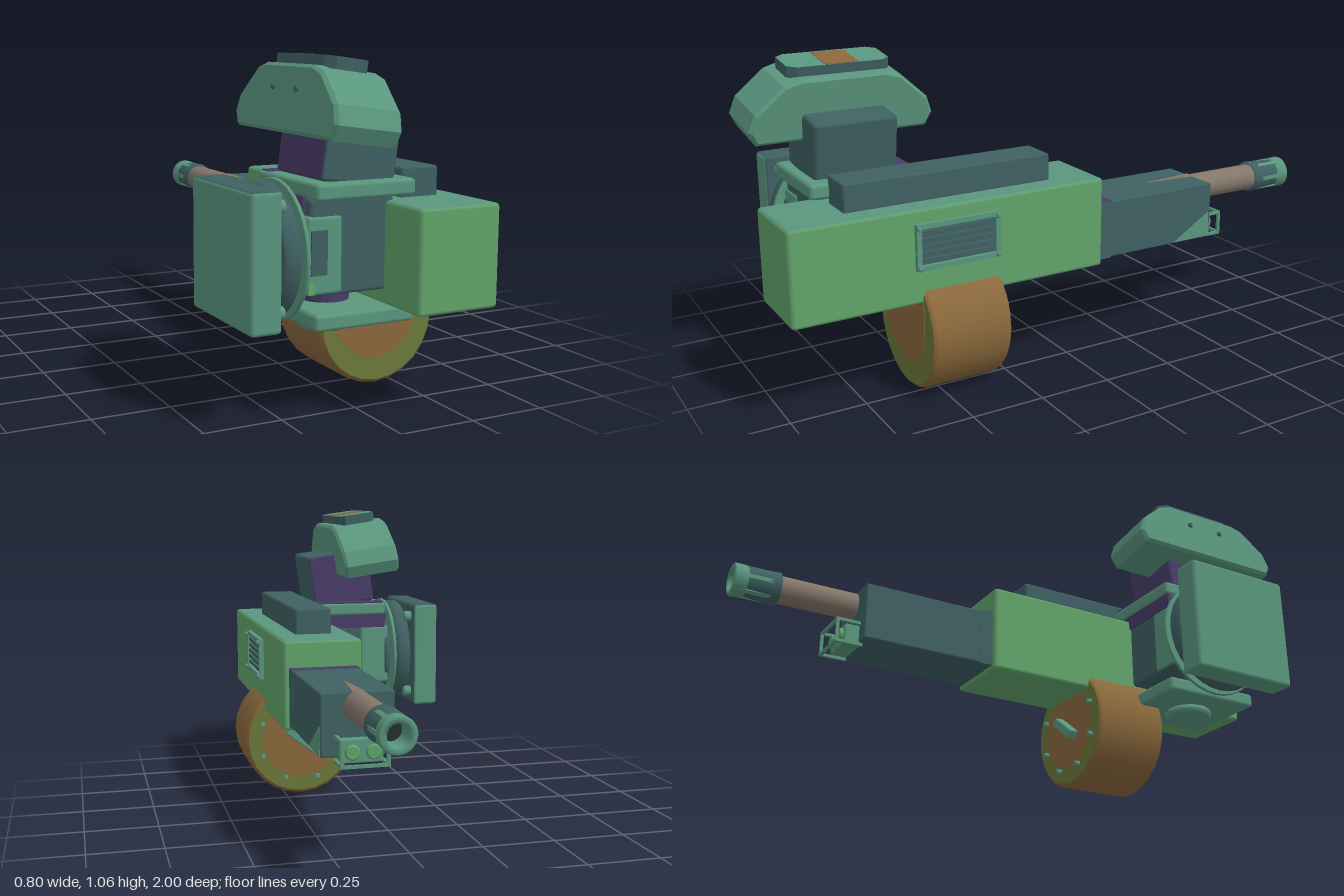
import * as THREE from 'three';
import { RoundedBoxGeometry } from 'three/addons/geometries/RoundedBoxGeometry.js';

const mat = (name, color, side = THREE.FrontSide) => {
  const m = new THREE.MeshStandardMaterial({ color, side });
  m.name = name;
  return m;
};

export function createModel() {
  const root = new THREE.Group();
  root.name = 'turret';
  const teal = mat('teal', 0x5a967e), green = mat('green', 0x61a36a), dark = mat('darkTeal', 0x3f6062);
  const brown = mat('brown', 0x8a683c), olive = mat('olive', 0x6b783a), purple = mat('purple', 0x483c68);
  const steel = mat('greyBrown', 0x84776a), black = mat('boreBlack', 0x22302f);

  const add = (name, geo, material, pos = [0, 0, 0], parent = root) => {
    const m = new THREE.Mesh(geo, material);
    m.name = name;
    m.position.set(...pos);
    parent.add(m);
    return m;
  };
  // Bevelled box from its limits; a material array is ordered +x -x +y -y +z -z
  const box = (name, x, y, z, material, r = 0.01, parent = root) => {
    const s = [x[1] - x[0], y[1] - y[0], z[1] - z[0]];
    const geo = r ? new RoundedBoxGeometry(...s, 1, r) : new THREE.BoxGeometry(...s);
    return add(name, geo, material, [(x[0] + x[1]) / 2, (y[0] + y[1]) / 2, (z[0] + z[1]) / 2], parent);
  };
  // Solid disc with chamfered rims, along the given axis
  const disc = (name, axis, r, len, bevel, material, pos, sides = 32, parent = root) => {
    const h = len / 2, P = (a, b) => new THREE.Vector2(a, b);
    const wall = [P(r - bevel, -h), P(r, -h + bevel), P(r, h - bevel), P(r - bevel, h)];
    const g = new THREE.Group();
    g.name = name;
    g.position.set(...pos);
    if (axis === 'x') g.rotation.z = -Math.PI / 2;
    if (axis === 'z') g.rotation.x = Math.PI / 2;
    parent.add(g);
    add(name + 'Wall', new THREE.LatheGeometry(wall, sides), material, [0, 0, 0], g);
    for (const s of [1, -1]) {
      const cap = add(name + 'Cap', new THREE.CircleGeometry(r - bevel, sides, Math.PI / 2), material, [0, s * h, 0], g);
      cap.rotation.x = -s * Math.PI / 2;
    }
    return g;
  };
  const flat = (pts) => new THREE.Shape(pts.map(p => new THREE.Vector2(...p)));
  const plate = (pts, depth = 0.004) => new THREE.ExtrudeGeometry(flat(pts), { depth, bevelEnabled: false });

  // Receiver, top rail and forward housing
  box('receiver', [0.05, 0.325], [0.33, 0.64], [-0.09, 1], [green, green, teal, green, green, green], 0.012);
  box('topRail', [0.12, 0.25], [0.63, 0.73], [0.075, 0.795], dark, 0.008);
  box('barrelHousing', [0.07, 0.305], [0.345, 0.545], [-0.57, -0.08], dark, 0.006);
  box('housingCollar', [0.069, 0.306], [0.344, 0.547], [-0.14, -0.09], [dark, dark, purple, dark, dark, dark], 0);
  const wedge = add('housingSideMark', plate([[0.41, 0.35], [0.565, 0.35], [0.56, 0.44]], 0.003), teal, [0.304, 0, 0]);
  wedge.rotation.y = Math.PI / 2;
  const spike = add('barrelRidge', plate([[0.165, 0.57], [0.205, 0.57], [0.185, 0.37]], 0.003), steel, [0, 0.544, 0]);
  spike.rotation.x = -Math.PI / 2;

  // Barrel and hollow muzzle
  const barrel = add('barrel', new THREE.CylinderGeometry(0.047, 0.047, 0.34, 24), steel, [0.185, 0.5, -0.71]);
  barrel.rotation.x = -Math.PI / 2;
  const lathe = (name, pts, material) => {
    const m = add(name, new THREE.LatheGeometry(pts.map(p => new THREE.Vector2(...p)), 16), material, [0.185, 0.5, 0]);
    m.rotation.x = -Math.PI / 2;
  };
  lathe('muzzleSleeve', [[0.04, 0.84], [0.057, 0.843], [0.049, 0.955]], dark);
  lathe('muzzleTip', [[0.047, 0.95], [0.055, 0.958], [0.056, 0.995], [0.05, 1], [0.034, 1], [0.032, 0.9]], teal);
  add('bore', new THREE.CircleGeometry(0.034, 16), black, [0.185, 0.5, -0.92]).rotation.y = Math.PI;
  for (let i = 0; i < 6; i++) {
    const a = i * Math.PI / 3;
    const rib = add('muzzleRib', new THREE.BoxGeometry(0.014, 0.012, 0.1), teal,
      [0.185 + 0.048 * Math.cos(a), 0.5 + 0.048 * Math.sin(a), -0.92]);
    rib.rotation.z = a + Math.PI / 2;
  }

  // Lamp pair in a guard frame under the barrel
  box('lampBody', [0.12, 0.25], [0.335, 0.405], [-0.62, -0.56], teal, 0.006);
  for (const x of [0.152, 0.218]) disc('lamp', 'z', 0.024, 0.02, 0.004, green, [x, 0.37, -0.622], 16);
  for (const x of [0.113, 0.257]) {
    for (const y of [0.333, 0.41]) box('guardArm', [x - 0.005, x + 0.005], [y - 0.005, y + 0.005], [-0.655, -0.56], teal, 0);
    box('guardPost', [x - 0.005, x + 0.005], [0.333, 0.41], [-0.655, -0.645], teal, 0);
  }
  for (const y of [0.333, 0.41]) box('guardBar', [0.113, 0.257], [y - 0.005, y + 0.005], [-0.655, -0.645], teal, 0);

  // Side vent with frame and slats
  box('ventBack', [0.32, 0.328], [0.455, 0.585], [0.315, 0.595], dark, 0);
  for (const y of [0.452, 0.587]) box('ventFrame', [0.32, 0.342], [y - 0.008, y + 0.008], [0.31, 0.6], teal, 0);
  for (const z of [0.318, 0.592]) {
    box('ventFrame', [0.32, 0.342], [0.45, 0.59], [z - 0.008, z + 0.008], teal, 0);
    for (const y of [0.455, 0.583]) disc('ventBolt', 'x', 0.009, 0.02, 0.003, teal, [0.342, y, z], 8);
  }
  for (let i = 0; i < 5; i++) {
    const y = 0.475 + i * 0.0225;
    box('ventSlat', [0.32, 0.338], [y - 0.006, y + 0.006], [0.325, 0.585], dark, 0);
  }

  // Ammunition drum with painted ends, bolts and handle
  const [dx, dy] = [0.188, 0.212];
  disc('drum', 'z', 0.212, 0.275, 0.012, brown, [dx, dy, 0.4375], 24);
  add('drumFrontRim', new THREE.CircleGeometry(0.2, 24, Math.PI / 2), olive, [dx, dy, 0.576]);
  add('drumFrontPanel', plate([[-0.008, 0.23], [0.1, 0.11], [0.15, 0.088], [0.2, 0.086], [0.25, 0.1], [0.3, 0.145],
    [0.326, 0.21], [0.326, 0.35], [0.08, 0.35], [0.005, 0.28]], 0.002), brown, [0, 0, 0.576]);
  add('drumBackRim', new THREE.CircleGeometry(0.2, 24, Math.PI / 2), olive, [dx, dy, 0.299]).rotation.y = Math.PI;
  add('drumBackPanel', new THREE.CircleGeometry(0.145, 24), brown, [dx, dy, 0.2975]).rotation.y = Math.PI;
  for (let i = 0; i < 8; i++) {
    const a = (i + 0.5) * Math.PI / 4;
    disc('drumBolt', 'z', 0.01, 0.02, 0.003, teal, [dx + 0.16 * Math.cos(a), dy + 0.16 * Math.sin(a), 0.292], 8);
  }
  const handle = box('drumHandle', [dx - 0.065, dx + 0.065], [dy - 0.017, dy + 0.017], [0.265, 0.305], teal, 0.006);
  handle.rotation.z = 0.65;

  // Yoke: core between two clamp plates
  box('yokeCore', [-0.2, 0.08], [0.375, 0.66], [0.5, 0.82], dark, 0.012);
  box('yokeCheek', [-0.212, -0.095], [0.38, 0.61], [0.495, 0.826], teal, 0.012);
  box('cheekInset', [-0.2, -0.148], [0.44, 0.57], [0.82, 0.831], dark, 0);
  box('cheekSpot', [-0.208, -0.188], [0.385, 0.42], [0.82, 0.829], green, 0);
  box('yokeBackBand', [-0.195, 0.075], [0.605, 0.657], [0.492, 0.51], purple, 0);
  box('yokeShoulder', [-0.21, -0.165], [0.6, 0.665], [0.53, 0.79], purple, 0.005);
  box('topClamp', [-0.197, 0.133], [0.655, 0.705], [0.485, 0.855], teal, 0.012);
  box('topClampStrip', [-0.185, 0.125], [0.702, 0.708], [0.49, 0.54], purple, 0);
  box('bottomClamp', [-0.197, 0.133], [0.28, 0.33], [0.485, 0.855], teal, 0.012);
  disc('bearing', 'y', 0.075, 0.06, 0.004, purple, [-0.06, 0.352, 0.66]);
  disc('bearingStem', 'y', 0.05, 0.03, 0.002, dark, [-0.06, 0.272, 0.66]);
  disc('bearingCap', 'y', 0.083, 0.027, 0.008, teal, [-0.06, 0.257, 0.66]);

  // Side pivot: flange, rings, standoffs and shield plate
  const py = 0.492, pz = 0.655;
  disc('pivotFlange', 'x', 0.175, 0.02, 0.004, dark, [-0.205, py, pz]);
  disc('pivotThinRing', 'x', 0.212, 0.012, 0.003, teal, [-0.227, py, pz]);
  disc('pivotHub', 'x', 0.12, 0.14, 0.004, dark, [-0.26, py, pz]);
  disc('pivotDrum', 'x', 0.204, 0.055, 0.012, dark, [-0.267, py, pz]);
  for (const sy of [-1, 1]) for (const sz of [-1, 1])
    disc('standoff', 'x', 0.02, 0.035, 0.004, teal, [-0.295, py + sy * 0.152, pz + sz * 0.152], 16);
  box('shieldPlate', [-0.402, -0.305], [0.29, 0.695], [0.45, 0.857], [dark, teal, dark, teal, teal, teal], 0.012);

  // Tilted sensor head on its neck
  const head = new THREE.Group();
  head.name = 'sensorHead';
  head.position.set(-0.105, 0.922, 0.68);
  head.rotation.z = -0.14;
  root.add(head);
  box('neck', [-0.03, 0.215], [-0.22, -0.01], [-0.137, 0.14], [dark, purple, dark, dark, dark, purple], 0.012, head);
  const half = [[0.28, -0.09], [0.298, -0.055], [0.28, -0.005], [0.19, 0.075], [0.14, 0.09]];
  const profile = [...half, ...half.map(([z, y]) => [-z, y]).reverse()];
  const shell = new THREE.ExtrudeGeometry(flat(profile),
    { depth: 0.195, bevelThickness: 0.01, bevelSize: 0.01, bevelSegments: 1 });
  shell.translate(0, 0, -0.0975).rotateY(-Math.PI / 2);
  add('headShell', shell, teal, [0, 0, 0], head);
  const lidShape = flat([[-0.072, -0.14], [-0.05, -0.17], [0.05, -0.17], [0.072, -0.14],
    [0.072, 0.14], [0.05, 0.17], [-0.05, 0.17], [-0.072, 0.14]]);
  const lid = new THREE.ExtrudeGeometry(lidShape, { depth: 0.036, bevelEnabled: false });
  lid.rotateX(-Math.PI / 2);
  add('headLid', lid, [teal, dark], [0, 0.095, 0], head);
  box('headLidPatch', [-0.06, 0.07], [0.13, 0.133], [-0.06, 0.05], brown, 0, head);
  for (const z of [-0.07, 0.07]) disc('headBolt', 'x', 0.01, 0.012, 0.003, dark, [-0.109, 0.03, z], 8, head);

  return root;
}
